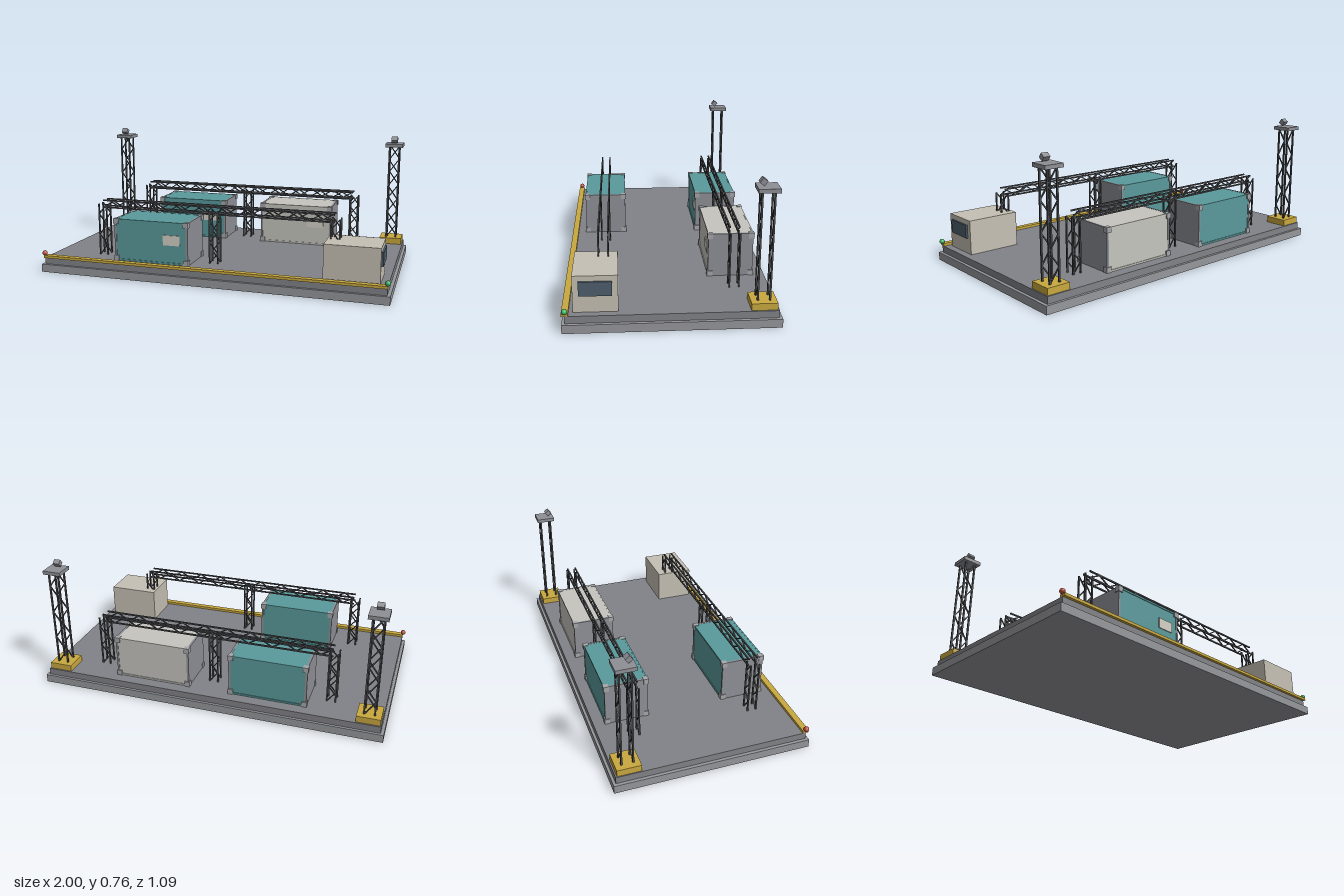
import * as THREE from 'three';

const mat = (color) => new THREE.MeshStandardMaterial({ color });
const M = {
  slab: mat(0x96979b), deck: mat(0x828388), steel: mat(0x4a4b4e), grey: mat(0x8f9096),
  corner: mat(0xa6a7aa), yellow: mat(0xc9a93f), teal: mat(0x5a9a9c), white: mat(0xc6c5bf),
  cabin: mat(0xc6c0b4), label: mat(0xd3d0c6), glass: mat(0x4e5f6c), frame: mat(0x77736c),
  red: mat(0xc0503c), green: mat(0x3fb566),
};
const DECK = 0.085;

function box(parent, name, material, w, h, d, x, y, z) {
  const m = new THREE.Mesh(new THREE.BoxGeometry(w, h, d), material);
  m.name = name;
  m.position.set(x, y, z);
  parent.add(m);
  return m;
}

// Square bar between two points lying in one plane of constant z
function bar(parent, name, t, x1, y1, x2, y2, z) {
  const len = Math.hypot(x2 - x1, y2 - y1);
  const m = box(parent, name, M.steel, t, len, t, (x1 + x2) / 2, (y1 + y2) / 2, z);
  m.rotation.z = -Math.atan2(x2 - x1, y2 - y1);
}

// Flat upright lattice: two legs and a zigzag brace
function uprightLattice(parent, x, z, half, y0, y1, bays, t, flip) {
  for (const s of [-1, 1]) bar(parent, 'latticeLeg', t, x + s * half, y0, x + s * half, y1, z);
  const step = (y1 - y0) / bays;
  for (let i = 0; i < bays; i++) {
    const s = (i % 2 ? -1 : 1) * flip;
    bar(parent, 'latticeBrace', t * 0.7, x - s * half, y0 + i * step, x + s * half, y0 + (i + 1) * step, z);
  }
}

// Gantry: a pair of flat trusses carried on three upright lattices each
function gantry(zMid) {
  const g = new THREE.Group();
  g.name = 'gantry';
  const L = 0.68, lo = 0.37, hi = 0.411, bays = 20, step = (2 * L) / bays;
  for (const s of [-1, 1]) {
    const z = zMid + s * 0.025;
    for (const y of [lo, hi]) bar(g, 'beamChord', 0.008, -L, y, L, y, z);
    for (let i = 0; i < bays; i++) {
      const up = (i % 2 === 0) === (s > 0);
      bar(g, 'beamBrace', 0.006, -L + i * step, up ? lo : hi, -L + (i + 1) * step, up ? hi : lo, z);
    }
    for (const x of [-0.685, 0, 0.685]) uprightLattice(g, x, z, 0.024, DECK, 0.388, 5, 0.008, s);
  }
  return g;
}

function container(x, z, material) {
  const g = new THREE.Group();
  g.name = 'container';
  g.position.set(x, DECK, z);
  const W = 0.43, H = 0.243, D = 0.238;
  box(g, 'containerBody', material, W, H, D, 0, H / 2, 0);
  for (const sx of [-1, 1]) {
    box(g, 'endPanel', M.grey, 0.012, H + 0.002, D + 0.006, sx * 0.217, H / 2, 0);
    for (const sy of [0, 1]) for (const sz of [-1, 1])
      box(g, 'cornerCasting', M.corner, 0.03, 0.03, 0.03, sx * 0.212, sy ? H - 0.012 : 0.015, sz * 0.112);
  }
  // Edge rails along the roof and floor
  for (const sz of [-1, 1]) for (const y of [0.006, H - 0.004])
    box(g, 'edgeRail', material, W, 0.01, 0.008, 0, y, sz * 0.119);
  box(g, 'sidePlate', M.label, 0.1, 0.058, 0.006, 0.125, 0.14, 0.121);
  return g;
}

function lightTower(x) {
  const g = new THREE.Group();
  g.name = 'lightTower';
  const z = -0.456;
  box(g, 'towerFoot', M.yellow, 0.132, 0.037, 0.132, x, DECK + 0.0185, z);
  for (const s of [-1, 1]) uprightLattice(g, x, z + s * 0.031, 0.029, 0.12, 0.692, 7, 0.009, s);
  box(g, 'towerPlatform', M.grey, 0.105, 0.021, 0.108, x, 0.7, z);
  box(g, 'floodlight', M.grey, 0.038, 0.029, 0.029, x, 0.735, -0.432).rotation.x = 0.93;
  return g;
}

export function createModel() {
  const root = new THREE.Group();
  root.name = 'containerYard';

  // Stepped base
  box(root, 'baseSlab', M.slab, 2, 0.046, 1.09, 0, 0.023, 0);
  box(root, 'deck', M.deck, 1.965, 0.04, 1.06, 0, 0.065, 0);

  // Quay edge with a marker light at each end
  box(root, 'quayEdge', M.yellow, 1.965, 0.015, 0.034, 0, 0.0925, 0.529);
  for (const [x, m] of [[-0.984, M.red], [0.984, M.green]]) {
    const lamp = new THREE.Mesh(new THREE.SphereGeometry(0.0148, 20, 14), m);
    lamp.name = 'markerLight';
    lamp.position.set(x, 0.111, 0.529);
    root.add(lamp);
  }

  root.add(container(-0.342, -0.343, M.teal), container(0.34, -0.343, M.white), container(-0.342, 0.34, M.teal));
  root.add(gantry(-0.343), gantry(0.34));
  root.add(lightTower(-0.911), lightTower(0.909));

  // Control cabin with a framed window in its end wall
  const cabin = new THREE.Group();
  cabin.name = 'controlCabin';
  box(cabin, 'cabinBody', M.cabin, 0.298, 0.195, 0.225, 0.793, DECK + 0.0975, 0.378);
  box(cabin, 'cabinWindow', M.glass, 0.01, 0.076, 0.165, 0.947, 0.213, 0.378);
  root.add(cabin);
  return root;
}
